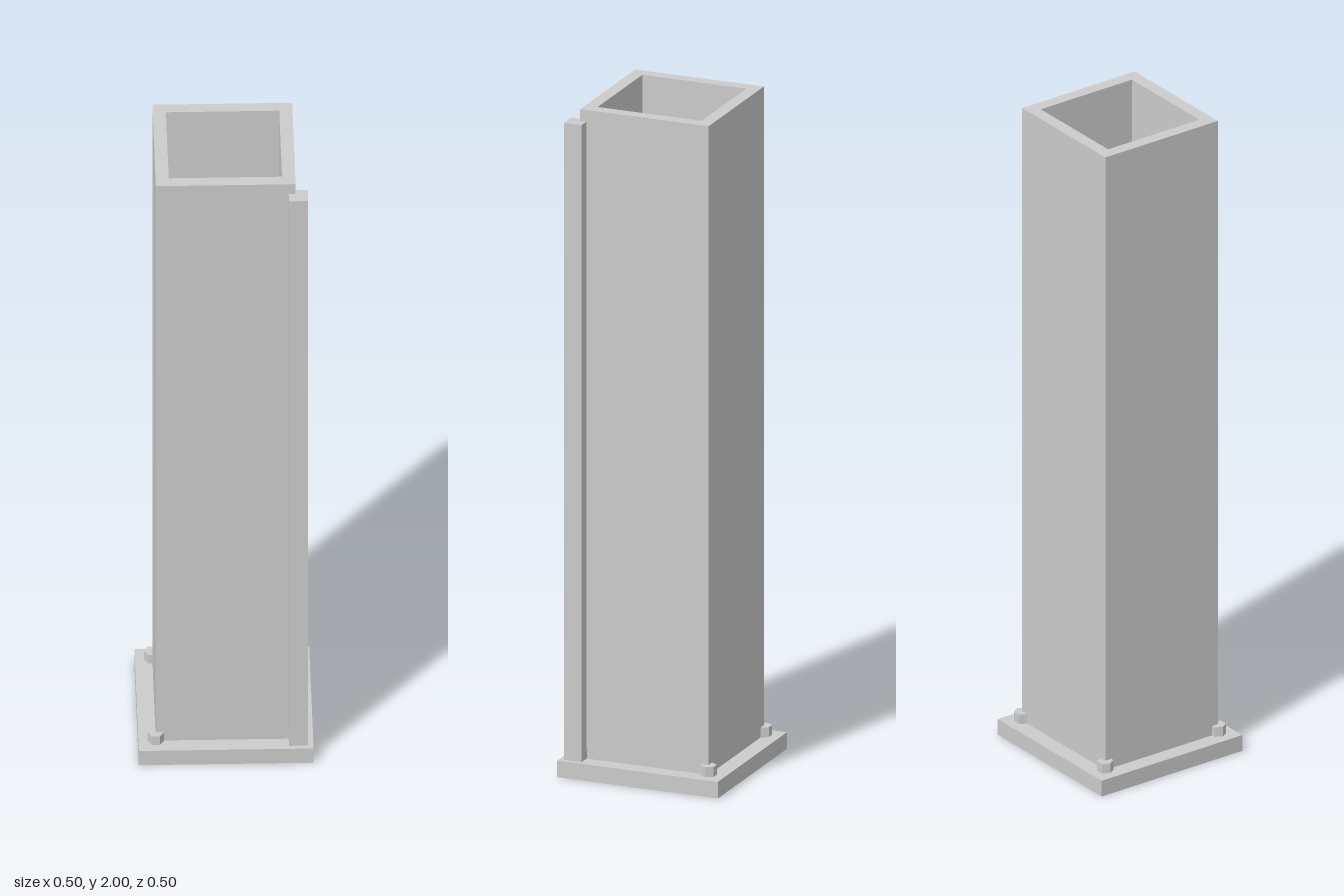
import * as THREE from 'three';

const material = new THREE.MeshStandardMaterial({ color: 0xcccccc, flatShading: true });

function addMesh(parent, name, geometry, x, y, z) {
  const mesh = new THREE.Mesh(geometry, material);
  mesh.name = name;
  mesh.position.set(x, y, z);
  parent.add(mesh);
  return mesh;
}

// Closed square outline with the given half width
function square(half, PathType) {
  return new PathType([
    new THREE.Vector2(-half, -half),
    new THREE.Vector2(half, -half),
    new THREE.Vector2(half, half),
    new THREE.Vector2(-half, half),
  ]);
}

export function createModel() {
  const group = new THREE.Group();
  group.name = 'columnPost';

  const plateHeight = 0.05;
  const columnHalf = 0.2;

  // Base plate
  addMesh(group, 'basePlate', new THREE.BoxGeometry(0.5, plateHeight, 0.5), 0, plateHeight / 2, 0);

  // Hollow square column, open at the top
  const outline = square(columnHalf, THREE.Shape);
  outline.holes.push(square(0.162, THREE.Path));
  const columnGeometry = new THREE.ExtrudeGeometry(outline, { depth: 2 - plateHeight, bevelEnabled: false });
  columnGeometry.rotateX(-Math.PI / 2);
  addMesh(group, 'hollowColumn', columnGeometry, 0, plateHeight, 0);

  // Square strip along the front left corner
  const stripTop = 1.965;
  const stripHeight = stripTop - plateHeight;
  addMesh(group, 'cornerStrip', new THREE.BoxGeometry(0.055, stripHeight, 0.055),
    0.2075, plateHeight + stripHeight / 2, 0.2075);

  // Hexagonal bolt heads at the column corners
  const boltGeometry = new THREE.CylinderGeometry(0.024, 0.024, 0.03, 6, 1, false, Math.PI / 2);
  for (const x of [-columnHalf, columnHalf]) {
    for (const z of [-columnHalf, columnHalf]) {
      const name = (z > 0 ? 'front' : 'back') + (x > 0 ? 'Left' : 'Right') + 'Bolt';
      addMesh(group, name, boltGeometry, x, plateHeight + 0.015, z);
    }
  }

  return group;
}
